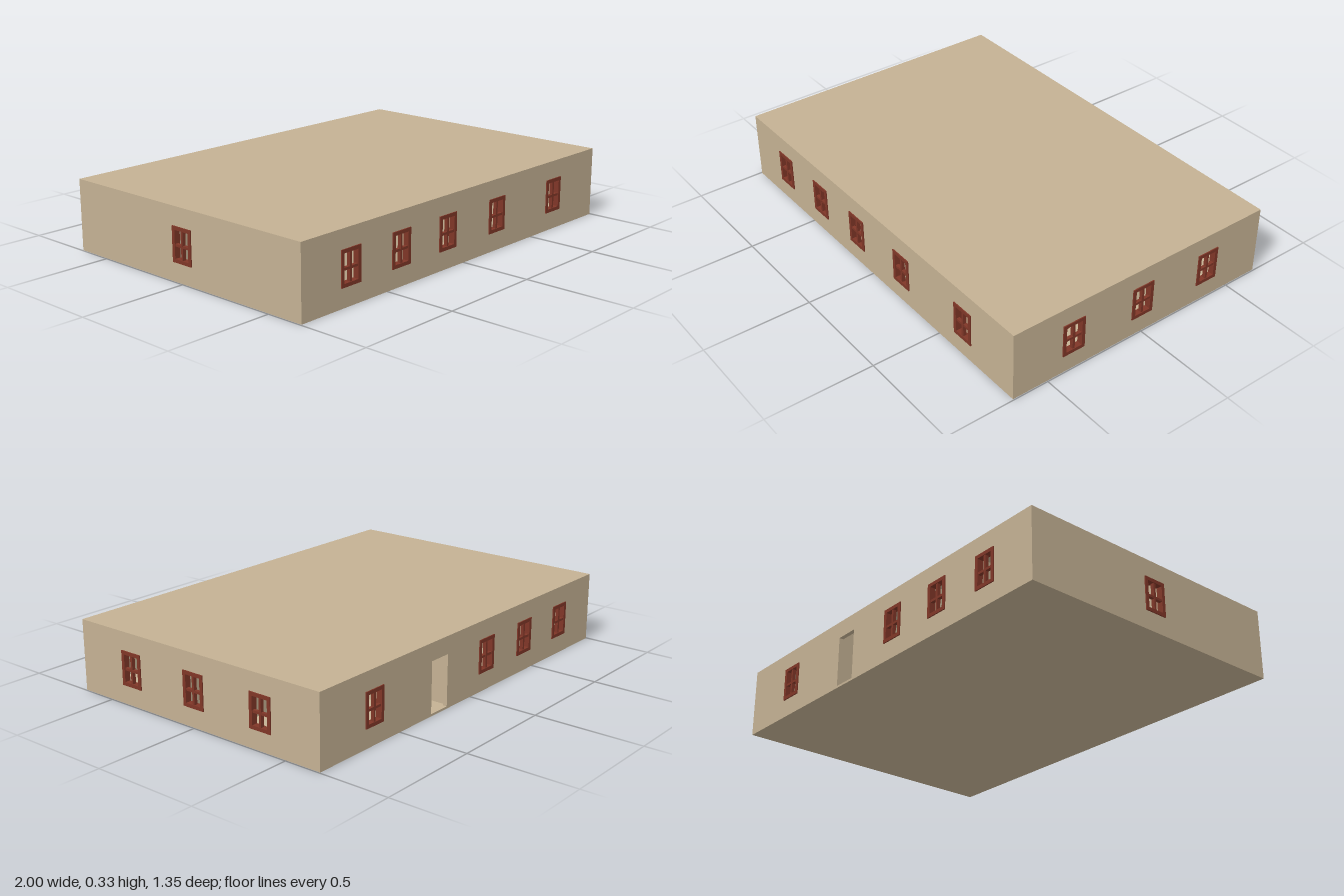
import * as THREE from 'three';

const HX = 0.995, HZ = 0.672, H = 0.326; // half width, half depth, height
const FLOOR = 0.01, CEIL = 0.308, T = 0.02; // floor top, ceiling underside, wall thickness
const WIN_W = 0.112, WIN_B = 0.086, WIN_T = 0.242, DOOR_W = 0.112, DOOR_T = 0.245;

const plaster = new THREE.MeshStandardMaterial({ color: 0xc4b193 });
plaster.name = 'tan plaster';
const wood = new THREE.MeshStandardMaterial({ color: 0x7f3627 });
wood.name = 'red brown wood';

function rectHole(x0, x1, y0, y1) {
  return new THREE.Path([[x0, y0], [x0, y1], [x1, y1], [x1, y0]].map(p => new THREE.Vector2(...p)));
}

// Window frame with four open panes, lying in the wall opening
function makeWindow(u) {
  const group = new THREE.Group();
  group.name = 'window';
  const w = WIN_W / 2, b = 0.016, mid = 0.16;
  const s = new THREE.Shape([[-w, WIN_B], [w, WIN_B], [w, WIN_T], [-w, WIN_T]].map(p => new THREE.Vector2(...p)));
  s.holes.push(rectHole(-w + b, w - b, WIN_B + b, WIN_T - b));
  const frame = new THREE.Mesh(new THREE.ExtrudeGeometry(s, { depth: T + 0.008, bevelEnabled: false }), wood);
  frame.name = 'windowFrame';
  frame.position.z = -T - 0.003;
  const upright = new THREE.Mesh(new THREE.BoxGeometry(0.011, WIN_T - WIN_B - 2 * b, 0.016), wood);
  upright.name = 'windowUpright';
  upright.position.set(0, (WIN_B + WIN_T) / 2, -0.006);
  const crossbar = new THREE.Mesh(new THREE.BoxGeometry(WIN_W - 2 * b, 0.011, 0.015), wood);
  crossbar.name = 'windowCrossbar';
  crossbar.position.set(0, mid, -0.006);
  group.add(frame, upright, crossbar);
  group.position.x = u;
  return group;
}

// Wall from u0 to u1 with its outer face on local z = 0
function makeWall(name, u0, u1, windows = [], doors = []) {
  const group = new THREE.Group();
  group.name = name;
  const pts = [[u0, FLOOR]];
  for (const d of doors) {
    const a = d - DOOR_W / 2, b = d + DOOR_W / 2;
    pts.push([a, FLOOR], [a, DOOR_T], [b, DOOR_T], [b, FLOOR]);
  }
  pts.push([u1, FLOOR], [u1, CEIL], [u0, CEIL]);
  const s = new THREE.Shape(pts.map(p => new THREE.Vector2(...p)));
  for (const u of windows) {
    s.holes.push(rectHole(u - WIN_W / 2, u + WIN_W / 2, WIN_B, WIN_T));
    group.add(makeWindow(u));
  }
  const wall = new THREE.Mesh(new THREE.ExtrudeGeometry(s, { depth: T, bevelEnabled: false }), plaster);
  wall.name = name + 'Panel';
  wall.position.z = -T;
  group.add(wall);
  return group;
}

function slab(name, w, h, d, x, y, z) {
  const m = new THREE.Mesh(new THREE.BoxGeometry(w, h, d), plaster);
  m.name = name;
  m.position.set(x, y, z);
  return m;
}

export function createModel() {
  const house = new THREE.Group();
  house.name = 'house';

  // Floor and flat roof
  house.add(slab('floor', 2 * HX, FLOOR, 2 * HZ, 0, FLOOR / 2, 0));
  house.add(slab('roof', 2 * HX, H - CEIL, 2 * HZ, 0, (H + CEIL) / 2, 0));

  // Outer walls
  const rows = [-0.72, -0.417, -0.115, 0.667], hall = 0.23;
  const front = makeWall('frontWall', -HX, HX, [...rows, hall]);
  front.position.z = HZ;
  const back = makeWall('backWall', -HX, HX, rows.map(x => -x), [-hall]);
  back.rotation.y = Math.PI;
  back.position.z = -HZ;
  const left = makeWall('leftWall', -HZ + T, HZ - T, [-0.368, 0, 0.368]);
  left.rotation.y = Math.PI / 2;
  left.position.x = HX;
  const right = makeWall('rightWall', -HZ + T, HZ - T, [0]);
  right.rotation.y = -Math.PI / 2;
  right.position.x = -HX;
  house.add(front, back, left, right);

  // Partitions along the two crossing corridors, and between the rooms
  const half = 0.11, wallH = CEIL - FLOOR, y = (CEIL + FLOOR) / 2;
  const hallL = 0.16, hallR = 0.30, inX = HX - T, inZ = HZ - T;
  for (const side of [-1, 1]) {
    const zc = side * (half + T / 2), zr = side * (half + T + inZ) / 2, depth = inZ - half - T;
    house.add(slab('corridorWall', hallL + inX, wallH, T, (hallL - inX) / 2, y, zc));
    house.add(slab('corridorWall', inX - hallR, wallH, T, (hallR + inX) / 2, y, zc));
    house.add(slab('hallWall', T, wallH, depth, hallL - T / 2, y, zr));
    house.add(slab('hallWall', T, wallH, depth, hallR + T / 2, y, zr));
    for (const x of [-0.57, -0.265]) house.add(slab('roomWall', T, wallH, depth, x, y, zr));
  }
  return house;
}
